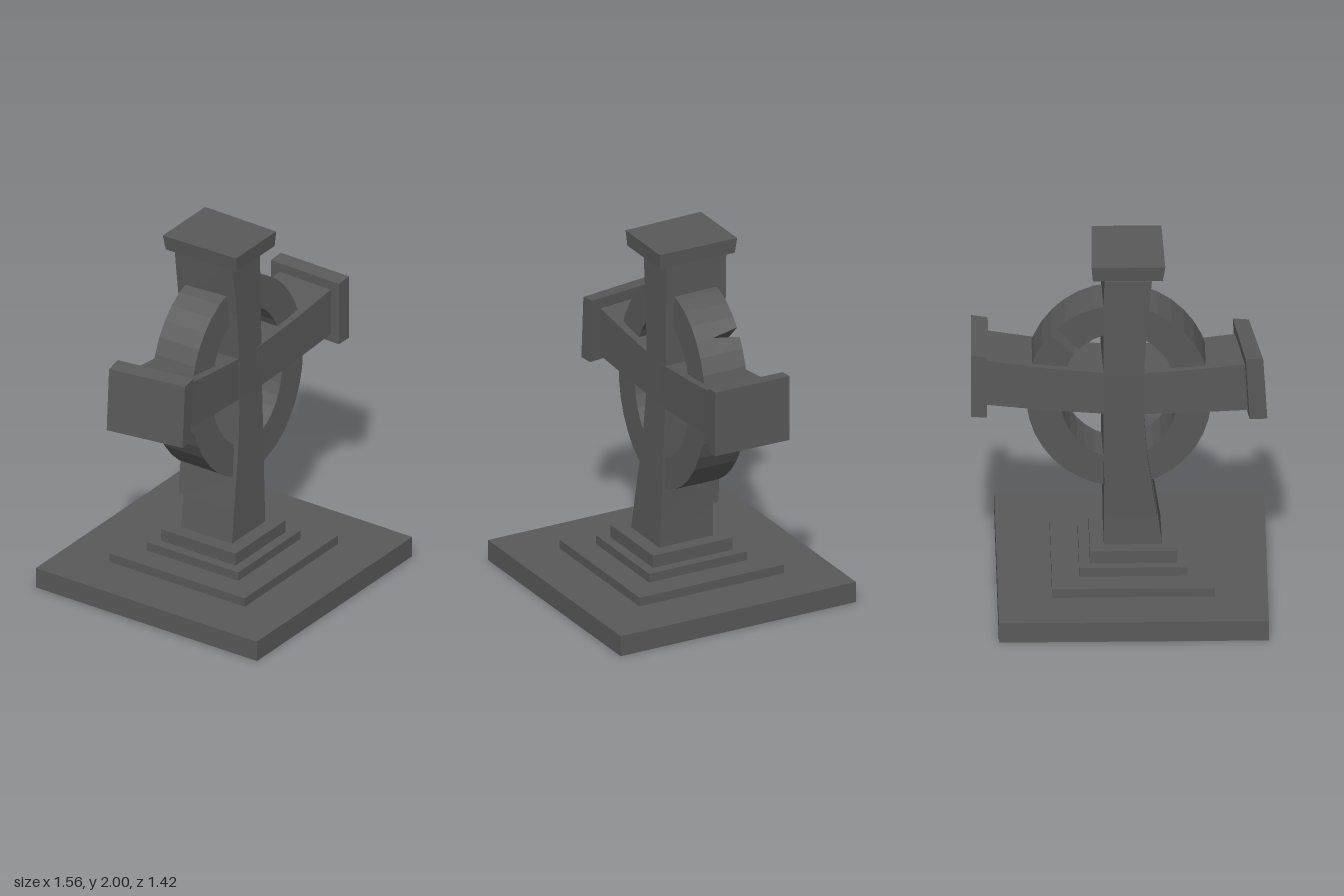
import * as THREE from 'three';

// Skin a row of equal-sized point loops (counter-clockwise seen from the far end), capped, with flat facets
function loft(sections) {
  const pos = [];
  const tri = (a, b, c) => pos.push(...a, ...b, ...c);
  const n = sections[0].length;
  for (let i = 0; i + 1 < sections.length; i++) {
    const a = sections[i], b = sections[i + 1];
    for (let j = 0; j < n; j++) {
      const k = (j + 1) % n;
      tri(a[j], a[k], b[k]);
      tri(a[j], b[k], b[j]);
    }
  }
  const first = sections[0], last = sections[sections.length - 1];
  for (let j = 1; j + 1 < n; j++) {
    tri(first[0], first[j + 1], first[j]);
    tri(last[0], last[j], last[j + 1]);
  }
  const g = new THREE.BufferGeometry();
  g.setAttribute('position', new THREE.Float32BufferAttribute(pos, 3));
  g.computeVertexNormals();
  return g;
}

// Horizontal section: front-left/right x, front z, back-left/right x, back z
const level = (y, fl, fr, zf, bl, br, zb) => [[fl, y, zf], [fr, y, zf], [br, y, zb], [bl, y, zb]];
// Upright section across x: bottom/top y, front x and z, back x and z
const slice = (yb, yt, xf, zf, xb, zb, lean = 0) =>
  [[xf - lean, yb, zf], [xb - lean, yb, zb], [xb, yt, zb], [xf, yt, zf]];

export function createModel() {
  const group = new THREE.Group();
  const stone = new THREE.MeshStandardMaterial({ color: 0x595959 });
  stone.name = 'darkStone';
  const add = (name, geometry) => {
    const m = new THREE.Mesh(geometry, stone);
    m.name = name;
    group.add(m);
    return m;
  };

  // Stepped plinth: x min, x max, y min, y max, half depth
  [
    [-0.78, 0.64, 0, 0.115, 0.71],
    [-0.5, 0.355, 0.115, 0.165, 0.435],
    [-0.36, 0.21, 0.165, 0.215, 0.295],
    [-0.305, 0.153, 0.215, 0.285, 0.24],
  ].forEach(([x0, x1, y0, y1, d], i) => {
    add('plinthStep' + (i + 1), new THREE.BoxGeometry(x1 - x0, y1 - y0, 2 * d))
      .position.set((x0 + x1) / 2, (y0 + y1) / 2, 0);
  });

  // Bent, slightly twisted shaft: y, left x, right x, front z, back z, twist
  const shaft = [
    [0.28, -0.225, 0.08, 0.16, -0.165, 0.003],
    [0.47, -0.195, 0.082, 0.153, -0.165, 0.01],
    [0.65, -0.165, 0.085, 0.147, -0.172, 0.014],
    [0.85, -0.135, 0.088, 0.14, -0.18, 0.016],
    [1.08, -0.115, 0.09, 0.132, -0.19, 0.02],
    [1.33, -0.113, 0.09, 0.128, -0.2, 0.02],
    [1.6, -0.13, 0.089, 0.125, -0.207, 0.016],
    [1.93, -0.165, 0.085, 0.12, -0.212, 0.012],
  ];
  add('shaft', loft(shaft.map(([y, l, r, f, b, t]) => level(y, l, r, f, l - t, r - t / 2, b))));

  // Raised panel on the back of the shaft
  add('backPanel', loft(shaft.slice(1).map(([y, l, r, , b, t]) =>
    level(Math.min(y, 1.9), l - t + 0.004, r - t / 2 - 0.004, b + 0.03, l - t + 0.004, r - t / 2 - 0.004, b - 0.034))));

  // Top cap
  add('topCap', loft([
    level(1.915, -0.22, 0.13, 0.185, -0.23, 0.138, -0.262),
    level(2.0, -0.23, 0.137, 0.19, -0.243, 0.145, -0.272),
  ]));

  // Flaring arms
  add('rightArm', loft([
    slice(1.112, 1.385, -0.63, 0.122, -0.68, -0.215),
    slice(1.095, 1.35, -0.35, 0.122, -0.36, -0.212),
    slice(1.085, 1.325, -0.08, 0.124, -0.08, -0.205),
  ]));
  add('leftArm', loft([
    slice(1.083, 1.325, 0.05, 0.13, 0.05, -0.195),
    slice(1.105, 1.355, 0.38, 0.142, 0.38, -0.188),
    slice(1.137, 1.402, 0.71, 0.156, 0.71, -0.18),
  ]));

  // Arm end caps
  add('rightArmCap', loft([
    slice(1.08, 1.435, -0.69, 0.185, -0.758, -0.255, 0.022),
    slice(1.083, 1.445, -0.605, 0.18, -0.665, -0.265, 0.022),
  ]));
  add('leftArmCap', loft([
    slice(1.09, 1.45, 0.685, 0.207, 0.695, -0.237),
    slice(1.093, 1.46, 0.77, 0.213, 0.778, -0.232),
  ]));

  // Leaning oval ring, with a wedge-shaped crack opening toward the back
  const ring = [], N = 36, crack = 0.78, gap = 0.05;
  for (let i = 0; i <= N; i++) {
    const base = crack + (i / N) * Math.PI * 2;
    const open = i === 0 ? gap : i === N ? -gap : 0;
    const at = (rx, ry, z, a) => {
      const x = rx * Math.cos(a), dy = ry * Math.sin(a);
      return [x, 1.17 + dy, z - 0.03 * dy / 0.55 + 0.03 * x];
    };
    const inner = (z, a) => at(0.31, 0.385, z, a), outer = (z, a) => at(0.488, 0.555, z, a);
    // Both sides of the crack meet at mid depth and part at the back
    const back = base + (i === 0 ? -open : i === N ? -open : 0);
    ring.push([
      inner(0, base), inner(0.1, base), outer(0.1, base), outer(0, base),
      outer(-0.155, i === 0 || i === N ? base + (base - back) : base),
      inner(-0.155, i === 0 || i === N ? base + (base - back) : base),
    ]);
  }
  add('ring', loft(ring));

  return group;
}
